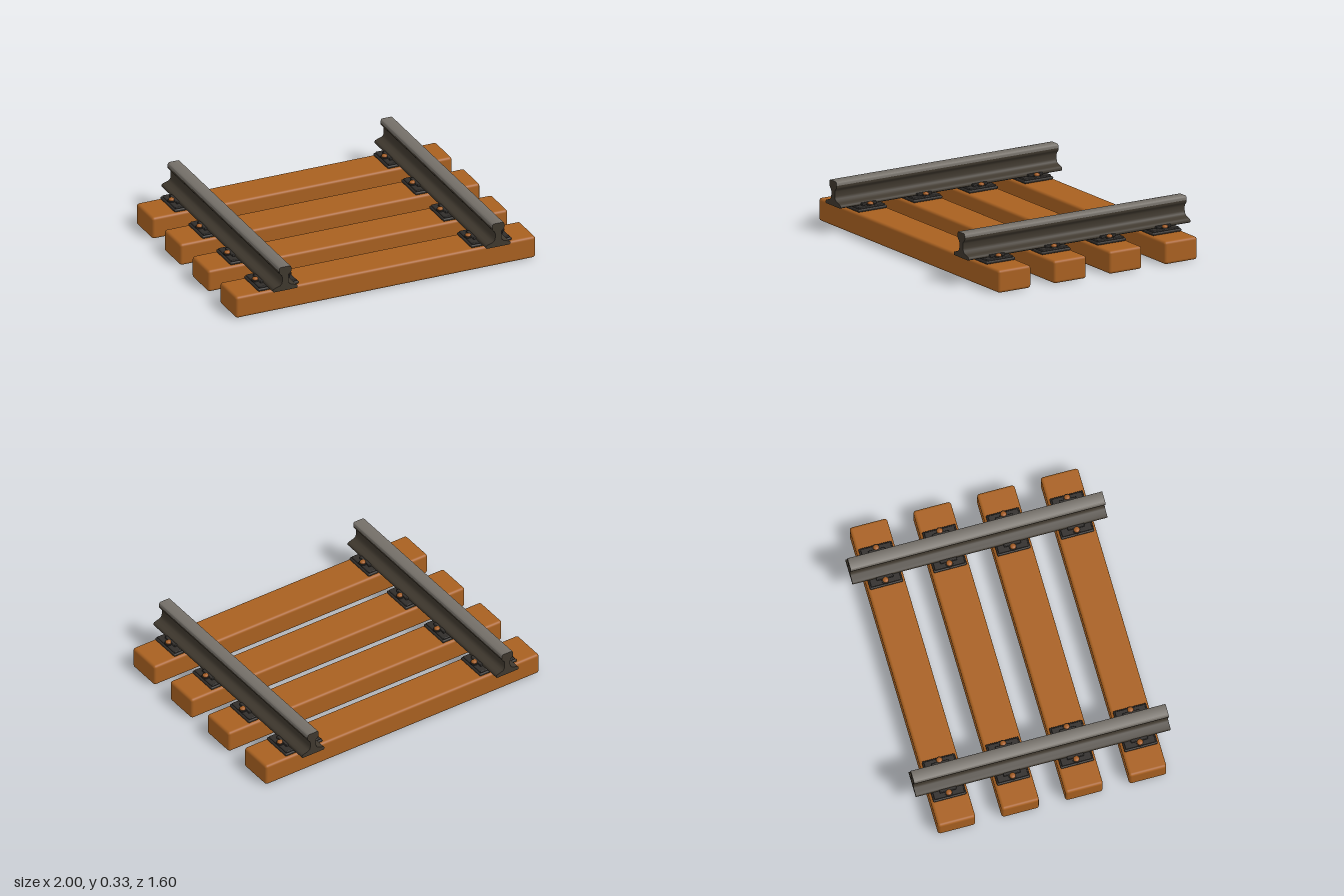
import * as THREE from 'three';
import { toCreasedNormals } from 'three/addons/utils/BufferGeometryUtils.js';
import { RoundedBoxGeometry } from 'three/addons/geometries/RoundedBoxGeometry.js';

const material = (name, color) => {
  const m = new THREE.MeshStandardMaterial({ color });
  m.name = name;
  return m;
};

// Half of the rail section, from the foot up to the head
const HALF_RAIL = [
  [0.076, 0.17], [0.081, 0.174], [0.081, 0.186], [0.076, 0.192], [0.058, 0.198],
  [0.035, 0.205], [0.024, 0.216], [0.02, 0.232], [0.02, 0.262], [0.024, 0.273],
  [0.036, 0.284], [0.04, 0.291], [0.04, 0.303], [0.04, 0.316], [0.037, 0.324], [0.031, 0.328],
];

// Extruded rail whose running surface takes a second material
function railGeometry() {
  const right = HALF_RAIL.map(([x, y]) => new THREE.Vector2(x, y));
  const left = HALF_RAIL.map(([x, y]) => new THREE.Vector2(-x, y)).reverse();
  const shape = new THREE.Shape([...right, ...left]);
  const extruded = new THREE.ExtrudeGeometry(shape, { depth: 1.6, bevelEnabled: false });
  extruded.translate(0, 0, -0.8);
  const geometry = toCreasedNormals(extruded, 0.75);
  geometry.clearGroups();
  const p = geometry.attributes.position;
  for (let i = 0; i < p.count; i += 3) {
    const isEnd = p.getZ(i) === p.getZ(i + 1) && p.getZ(i) === p.getZ(i + 2);
    const low = Math.min(p.getY(i), p.getY(i + 1), p.getY(i + 2));
    geometry.addGroup(i, 3, !isEnd && low > 0.3 ? 1 : 0);
  }
  return geometry;
}

export function createModel() {
  const wood = material('wood', 0xa86020);
  const iron = material('dark iron', 0x3f382e);
  const steel = material('polished steel', 0x76716a);
  const plateMetal = material('plate metal', 0x302d2a);
  const copper = material('bolt copper', 0xa35c24);

  const model = new THREE.Group();
  model.name = 'railwayTrack';
  const add = (parent, name, geometry, mat, x, y, z) => {
    const mesh = new THREE.Mesh(geometry, mat);
    mesh.name = name;
    mesh.position.set(x, y, z);
    parent.add(mesh);
    return mesh;
  };

  const sleeper = new RoundedBoxGeometry(2, 0.143, 0.236, 3, 0.018);
  const lowerPlate = new RoundedBoxGeometry(0.27, 0.018, 0.208, 2, 0.007);
  const upperPlate = new RoundedBoxGeometry(0.25, 0.014, 0.19, 2, 0.005);
  const clip = new RoundedBoxGeometry(0.05, 0.016, 0.106, 2, 0.004);
  const boltHead = new THREE.SphereGeometry(0.019, 16, 10).scale(1, 0.6, 1);
  const washer = new THREE.CylinderGeometry(0.024, 0.024, 0.008, 16);
  const rail = railGeometry();

  // Rails
  for (const side of [-1, 1]) {
    add(model, side > 0 ? 'leftRail' : 'rightRail', rail, [iron, steel], side * 0.71, 0, 0);
  }

  // Sleepers, each with a fastening under both rails
  for (const z of [-0.6, -0.2, 0.2, 0.6]) {
    add(model, 'sleeper', sleeper, wood, 0, 0.0715, z);
    for (const side of [-1, 1]) {
      const fastening = new THREE.Group();
      fastening.name = 'railFastening';
      fastening.position.set(side * 0.71, 0, z);
      model.add(fastening);
      add(fastening, 'basePlate', lowerPlate, plateMetal, 0, 0.152, 0);
      add(fastening, 'raisedPlate', upperPlate, plateMetal, 0, 0.164, 0);
      for (const s of [-1, 1]) {
        add(fastening, 'railClip', clip, plateMetal, s * 0.073, 0.178, 0);
        add(fastening, 'washer', washer, plateMetal, s * 0.108, 0.174, 0);
        add(fastening, 'boltHead', boltHead, copper, s * 0.108, 0.182, 0);
      }
    }
  }
  return model;
}
